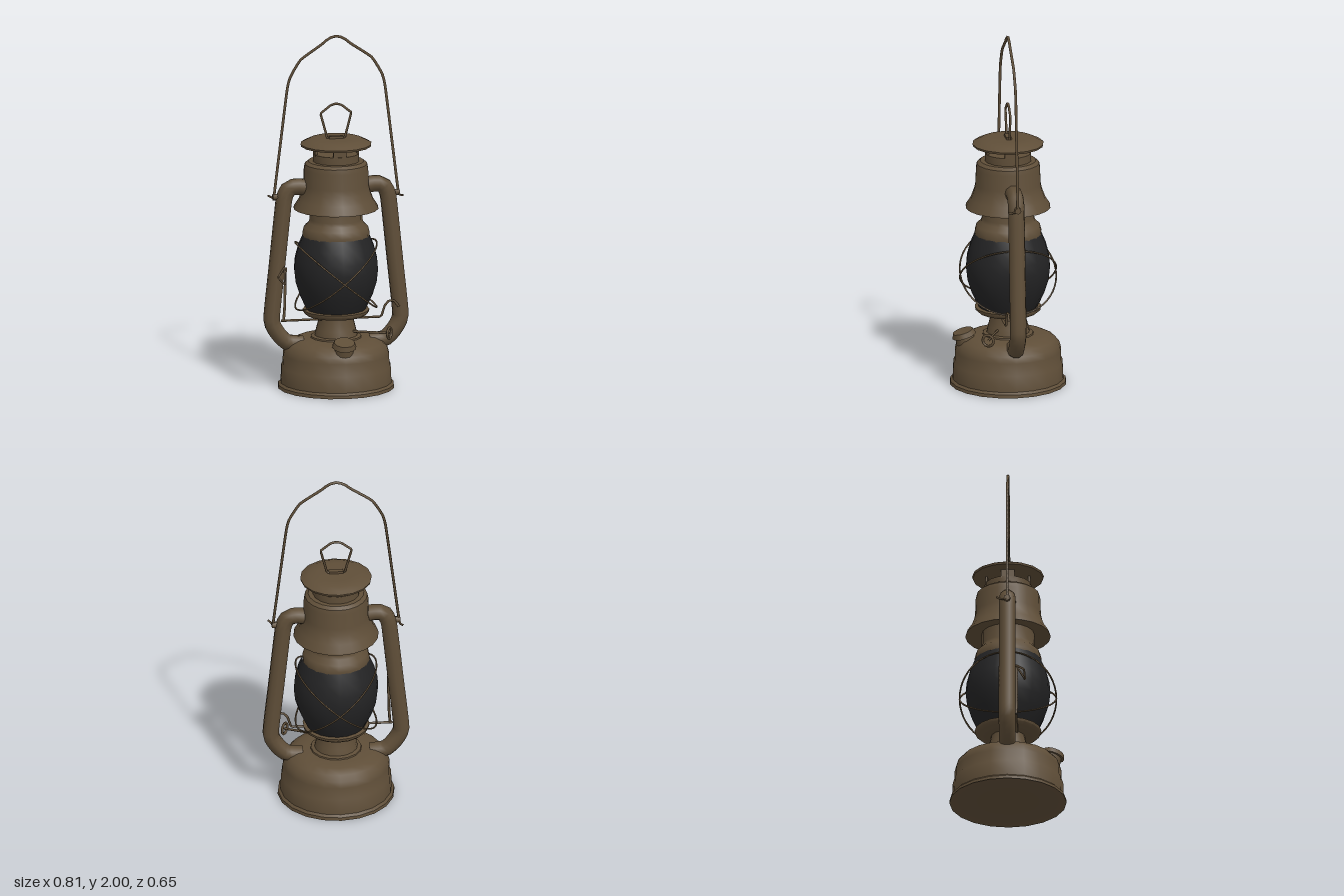
import * as THREE from 'three';
import { toCreasedNormals } from 'three/addons/utils/BufferGeometryUtils.js';

const metal = new THREE.MeshStandardMaterial({ color: 0x5f4e38 });
metal.name = 'aged brown metal';
const glass = new THREE.MeshStandardMaterial({ color: 0x232324 });
glass.name = 'smoked glass';

export function createModel() {
  const group = new THREE.Group();
  group.name = 'oilLantern';

  const add = (name, geometry, material = metal) => {
    const mesh = new THREE.Mesh(geometry, material);
    mesh.name = name;
    group.add(mesh);
    return mesh;
  };
  // Turned part from [radius, y] pairs, listed from bottom to top
  const turned = (name, profile, sides = 20, material = metal) => add(name,
    toCreasedNormals(new THREE.LatheGeometry(profile.map(([r, y]) => new THREE.Vector2(r, y)), sides), 0.65), material);
  // Bent rod through [x, y, z] points; tension 0 keeps straight runs
  const rod = (name, points, radius, { tension = 0, segments = 40, sides = 5, closed = false } = {}) => {
    const curve = new THREE.CatmullRomCurve3(points.map(p => new THREE.Vector3(...p)), closed, 'catmullrom', tension);
    return add(name, new THREE.TubeGeometry(curve, segments, radius, sides, closed));
  };

  // Fuel tank
  turned('fuelTank', [[0, 0.008], [0.31, 0.008], [0.325, 0], [0.323, 0.018], [0.31, 0.03], [0.306, 0.12],
    [0.298, 0.135], [0.297, 0.19], [0.287, 0.225], [0.262, 0.255], [0.22, 0.275], [0.17, 0.282], [0, 0.285]]);

  // Burner and the collar that seats the globe
  turned('burnerCone', [[0.145, 0.275], [0.14, 0.29], [0.12, 0.295], [0.112, 0.33], [0.095, 0.395], [0.095, 0.41]], 16);
  turned('globeCollar', [[0, 0.40], [0.12, 0.40], [0.165, 0.41], [0.182, 0.425], [0.185, 0.44], [0.16, 0.444], [0, 0.444]], 18);

  // Globe
  turned('globe', [[0.16, 0.435], [0.178, 0.47], [0.205, 0.53], [0.227, 0.6], [0.235, 0.67],
    [0.23, 0.73], [0.212, 0.8], [0.186, 0.862]], 20, glass);

  // Chimney neck, bell hood and vent
  turned('chimneyNeck', [[0, 0.858], [0.186, 0.858], [0.187, 0.875], [0.178, 0.91], [0.152, 0.935], [0.146, 0.955], [0.146, 1.05]], 18);
  turned('bellHood', [[0.14, 1.03], [0.205, 1.022], [0.237, 1.015], [0.234, 1.025], [0.208, 1.065], [0.19, 1.115],
    [0.182, 1.15], [0.18, 1.24], [0.174, 1.268], [0.155, 1.283], [0, 1.285]]);
  turned('ventCollar', [[0.13, 1.28], [0.13, 1.328], [0, 1.328]], 16);
  for (let i = 0; i < 4; i++) {
    const post = add('ventPost', new THREE.BoxGeometry(0.074, 0.06, 0.012));
    const a = i * Math.PI / 2;
    post.position.set(Math.sin(a) * 0.118, 1.35, Math.cos(a) * 0.118);
    post.rotation.y = a;
  }
  turned('ventCap', [[0, 1.368], [0.13, 1.368], [0.17, 1.366], [0.196, 1.37], [0.199, 1.382], [0.178, 1.392],
    [0.15, 1.406], [0.1, 1.41], [0, 1.411]], 16);

  // Lifting ring on the cap
  add('ringMount', new THREE.BoxGeometry(0.08, 0.018, 0.03)).position.y = 1.415;
  rod('liftingRing', [[-0.05, 1.415, 0], [-0.088, 1.555, 0], [-0.03, 1.6, 0], [0, 1.608, 0], [0.03, 1.6, 0],
    [0.086, 1.555, 0], [0.05, 1.415, 0]], 0.007, { closed: true, segments: 56 });

  // Carrying bail, mirrored about the middle
  const half = [[0.352, 1.08], [0.313, 1.4], [0.276, 1.7], [0.258, 1.77], [0.2, 1.865], [0.085, 1.945], [0.042, 1.98]];
  rod('carryingBail', [...half.map(([x, y]) => [-x, y, 0]), [0, 1.992, 0], ...half.reverse().map(([x, y]) => [x, y, 0])],
    0.008, { tension: 0.25, segments: 70 });

  // Side tubes, with an ear for the bail on each
  for (const s of [-1, 1]) {
    rod('sideTube', [[0.15, 1.135, 0], [0.22, 1.145, 0], [0.265, 1.135, 0], [0.29, 1.09, 0], [0.3, 1.02, 0], [0.333, 0.7, 0],
      [0.362, 0.42, 0], [0.357, 0.365, 0], [0.325, 0.31, 0], [0.275, 0.262, 0], [0.19, 0.25, 0]].map(([x, y, z]) => [x * s, y, z]),
    0.046, { tension: 0.4, segments: 36, sides: 10 });
    const ear = add('bailEar', new THREE.CylinderGeometry(0.018, 0.018, 0.03, 8));
    ear.rotation.z = Math.PI / 2;
    ear.position.set(0.342 * s, 1.09, 0);
    rod('bailHook', [[0.352 * s, 1.085, 0], [0.355 * s, 1.08, s * 0.035], [0.372 * s, 1.085, s * 0.06]], 0.006, { segments: 8 });
  }

  // Two crossed guard wires, tilted opposite ways around the globe
  for (const s of [-1, 1]) {
    const ring = [];
    for (let i = 0; i < 20; i++) {
      const a = i / 20 * Math.PI * 2;
      ring.push([Math.sin(a) * 0.225, 0.635 + s * Math.sin(a) * 0.185, Math.cos(a) * 0.268]);
    }
    rod('guardWire', ring, 0.005, { tension: 0.5, closed: true, segments: 48 });
  }

  // Globe lifting crossbar and its lever
  rod('liftCrossbar', [[-0.32, 0.397, 0.05], [0.1, 0.397, 0.05], [0.245, 0.397, 0.05], [0.265, 0.46, 0.05],
    [0.29, 0.488, 0.05], [0.318, 0.485, 0.05], [0.345, 0.45, 0.05]], 0.007, { segments: 48 });
  rod('liftLever', [[-0.305, 0.4, 0.05], [-0.3, 0.47, 0.052], [-0.295, 0.7, 0.052]], 0.008, { segments: 16 });
  rod('leverLoop', [[-0.3, 0.7, 0.05], [-0.345, 0.655, 0.095], [-0.305, 0.61, 0.1]], 0.006, { closed: true, segments: 24 });

  // Wick adjuster
  rod('wickShaft', [[0.08, 0.325, 0.07], [0.19, 0.325, 0.12], [0.275, 0.325, 0.155]], 0.007, { segments: 12 });
  const wheel = add('wickKnob', new THREE.TorusGeometry(0.032, 0.008, 5, 12));
  wheel.position.set(0.272, 0.325, 0.155);
  wheel.rotation.y = Math.PI / 3;

  // Filler neck and cap, leaning forward
  const filler = new THREE.Group();
  filler.name = 'filler';
  const neck = new THREE.Mesh(new THREE.CylinderGeometry(0.05, 0.06, 0.09, 12), metal);
  neck.name = 'fillerNeck';
  neck.position.y = -0.045;
  const cap = new THREE.Mesh(new THREE.CylinderGeometry(0.058, 0.068, 0.028, 12), metal);
  cap.name = 'fillerCap';
  filler.add(neck, cap);
  filler.position.set(0, 0.293, 0.25);
  filler.rotation.x = 0.3;
  group.add(filler);

  return group;
}
